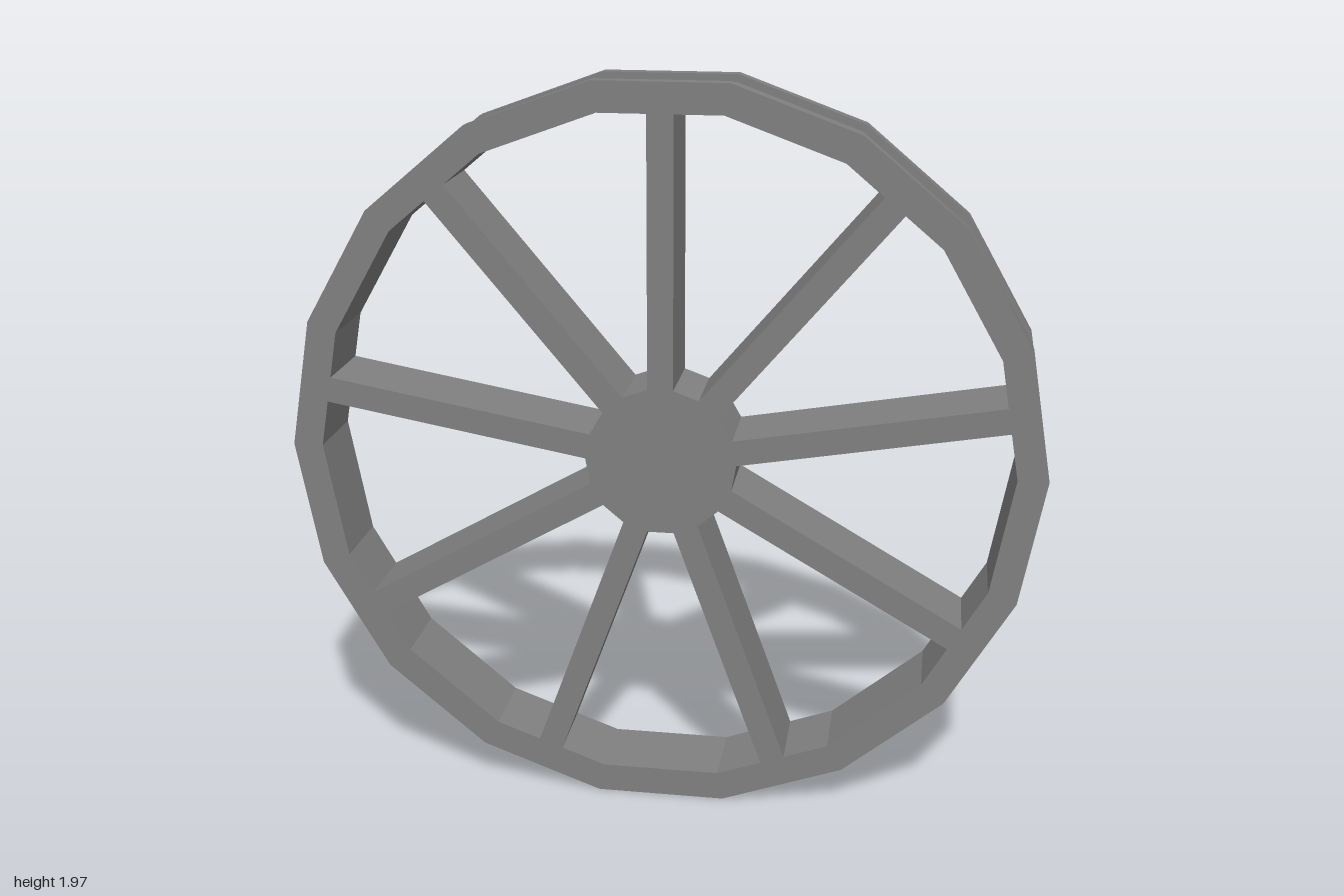
import * as THREE from 'three';
import { toCreasedNormals } from 'three/addons/utils/BufferGeometryUtils.js';

const SIDES = 18, SPOKES = 9;
const OUTER = 1, GROOVE = 0.98, INNER = 0.92, HUB = 0.2;
const HALF = 0.105, GROOVE_HALF = 0.066; // half widths along z

// Revolves [radius, z] points around the z axis, with a corner on +x
function revolve(points, crease) {
  const profile = points.map(([r, z]) => new THREE.Vector2(r, z));
  const geometry = new THREE.LatheGeometry(profile, SIDES, Math.PI / 2);
  geometry.rotateX(Math.PI / 2);
  return toCreasedNormals(geometry, crease);
}

export function createModel() {
  const wheel = new THREE.Group();
  wheel.name = 'wheel';
  const material = new THREE.MeshStandardMaterial({ color: 0x808080 });

  const add = (name, geometry) => {
    const mesh = new THREE.Mesh(geometry, material);
    mesh.name = name;
    wheel.add(mesh);
    return mesh;
  };

  // Rim: two flanges with a shallow groove between, smooth around the outside
  add('rimOuter', revolve([
    [INNER, -HALF], [OUTER, -HALF], [OUTER, -GROOVE_HALF], [GROOVE, -GROOVE_HALF],
    [GROOVE, GROOVE_HALF], [OUTER, GROOVE_HALF], [OUTER, HALF], [INNER, HALF],
  ], 0.5));

  // Faceted inside of the rim
  add('rimInner', revolve([[INNER, HALF], [INNER, -HALF]], 0.1));

  // Solid hub
  const hub = new THREE.CylinderGeometry(HUB, HUB, HALF * 2, SIDES, 1, false, Math.PI / 2);
  hub.rotateX(Math.PI / 2);
  add('hub', toCreasedNormals(hub, 0.1));

  // Flat spokes as deep as the rim, the first one pointing straight up
  const start = 0.15, end = 0.915;
  const spoke = new THREE.BoxGeometry(0.068, end - start, HALF * 2);
  spoke.translate(0, (start + end) / 2, 0);
  for (let i = 0; i < SPOKES; i++) {
    add('spoke' + (i + 1), spoke).rotation.z = (i / SPOKES) * Math.PI * 2;
  }

  // Rest the bottom flat of the rim on the ground
  wheel.position.y = OUTER * Math.cos(Math.PI / SIDES);
  return wheel;
}
